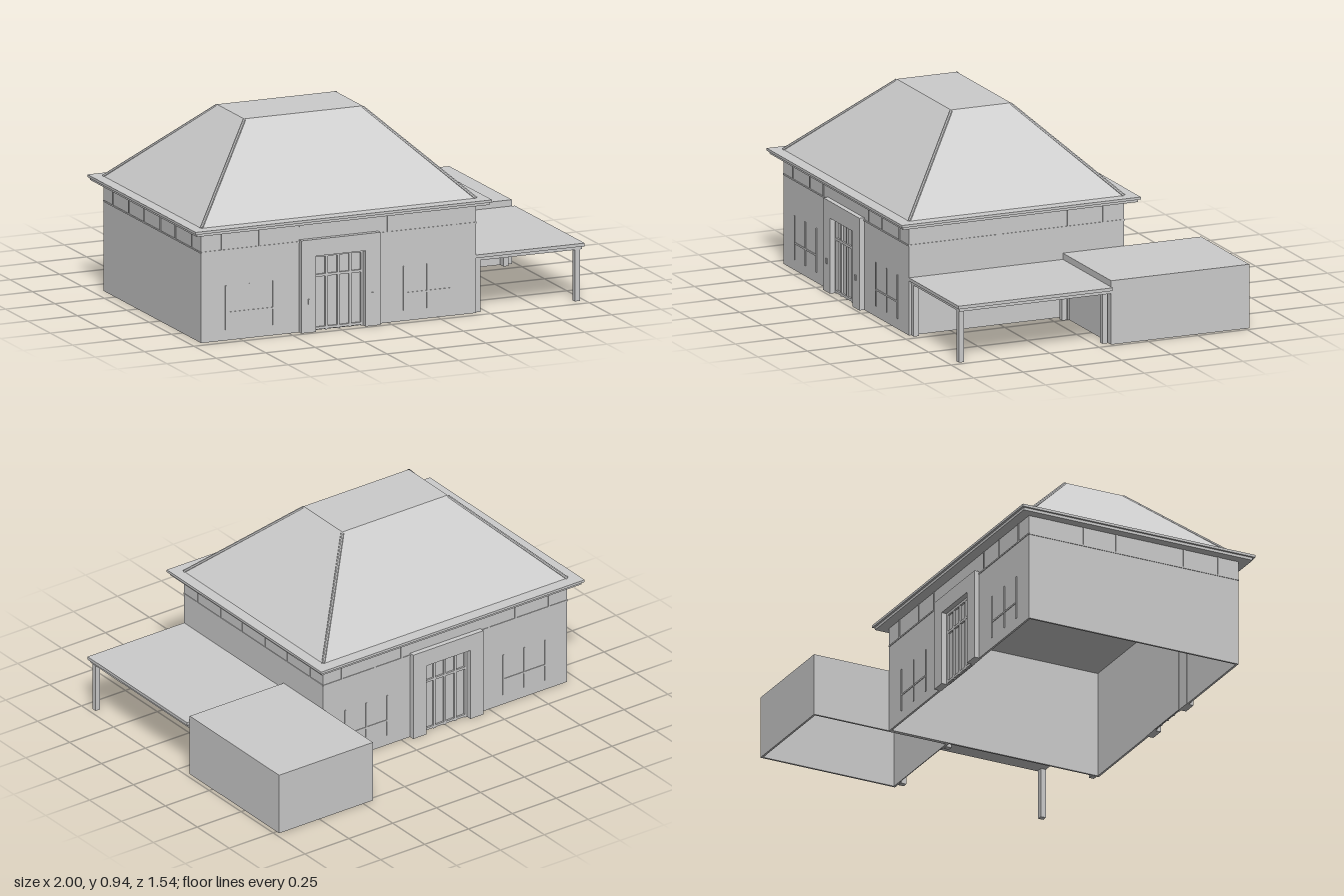
import * as THREE from 'three';

const mat = new THREE.MeshStandardMaterial({ color: 0xcccccc, flatShading: true, side: THREE.DoubleSide });

export function createModel() {
  const root = new THREE.Group();
  root.name = 'house';

  const group = (name, parent = root) => {
    const g = new THREE.Group();
    g.name = name;
    parent.add(g);
    return g;
  };
  const add = (name, geo, parent) => {
    const m = new THREE.Mesh(geo, mat);
    m.name = name;
    parent.add(m);
    return m;
  };
  // Box given by its two extreme corners
  const box = (name, x0, x1, y0, y1, z0, z1, parent = root) =>
    add(name, new THREE.BoxGeometry(x1 - x0, y1 - y0, z1 - z0)
      .translate((x0 + x1) / 2, (y0 + y1) / 2, (z0 + z1) / 2), parent);
  // Thin wall facing z with one doorway reaching the ground
  const doorWall = (name, x0, x1, h, d0, d1, dh, z, t, parent) => {
    const s = new THREE.Shape();
    [[x0, 0], [d0, 0], [d0, dh], [d1, dh], [d1, 0], [x1, 0], [x1, h], [x0, h]]
      .forEach(([x, y], i) => (i ? s.lineTo(x, y) : s.moveTo(x, y)));
    const m = add(name, new THREE.ExtrudeGeometry(s, { depth: t, bevelEnabled: false }), parent);
    m.position.z = z;
  };

  // Main block, measured about its own centre
  const CX = -0.25, CZ = 0.165, W = 0.695, D = 0.545, H = 0.52, T = 0.01;
  const main = group('mainBlock');
  main.position.set(CX, 0, CZ);

  // Side walls with the band of upper windows
  for (const s of [-1, 1]) {
    const side = group(s > 0 ? 'leftSide' : 'rightSide', main);
    side.scale.x = s;
    box('sideWall', W - T, W, 0, H, -D, D, side);
    box('windowBand', W, W + 0.003, 0.425, 0.432, -D, D, side);
    for (const z of [-0.44, -0.26, -0.09, 0.09, 0.26, 0.44])
      box('upperMullion', W, W + 0.003, 0.43, H, z - 0.004, z + 0.004, side);
  }

  // Front and back facades share one layout, turned half round
  for (const r of [0, 1]) {
    const f = group(r ? 'backFacade' : 'frontFacade', main);
    f.rotation.y = r * Math.PI;
    doorWall('facadeWall', -W, W, H, -0.125, 0.125, 0.36, D - T, T, f);

    // Portal surround
    doorWall('portal', -0.2, 0.2, 0.44, -0.125, 0.125, 0.36, D - 0.012, 0.037, f);

    // Glazed double door set back in the opening
    box('doorGlass', -0.125, 0.125, 0, 0.36, D - 0.014, D - 0.01, f);
    for (const x of [-0.119, -0.06, 0, 0.06, 0.119])
      box('doorStile', x - 0.006, x + 0.006, 0, 0.36, D - 0.012, D - 0.001, f);
    for (const y of [0.01, 0.26, 0.354])
      box('doorRail', -0.125, 0.125, y - 0.006, y + 0.006, D - 0.012, D - 0.001, f);

    // Window bars and upper band on both halves
    for (const s of [-1, 1]) {
      const half = group('windows', f);
      half.scale.x = s;
      box('windowBand', 0.2, W, 0.425, 0.432, D, D + 0.003, half);
      for (const x of [0.25, 0.4, 0.59])
        box('upperMullion', x - 0.004, x + 0.004, 0.43, H, D, D + 0.003, half);
      for (const x of [0.33, 0.45, 0.57])
        box('windowPost', x - 0.004, x + 0.004, 0.05, 0.26, D, D + 0.003, half);
      box('windowBar', 0.33, 0.57, 0.126, 0.134, D, D + 0.003, half);
      // Small lamp on the portal, front only
      if (!r) box('portalLamp', 0.154, 0.166, 0.135, 0.16, D + 0.025, D + 0.03, half);
    }
  }
  box('upperWindowHead', -0.2, 0.2, 0.5, H, D, D + 0.003, main);

  // Eaves: slab with a projecting lip
  box('eaveSlab', -W - 0.045, W + 0.045, H, 0.537, -D - 0.05, D + 0.05, main);
  box('eaveLip', -W - 0.055, W + 0.055, 0.533, 0.545, -D - 0.06, D + 0.06, main);

  // Flat-topped hip roof: a box narrowed at the top
  const RY0 = 0.545, RY1 = 0.935, TX = 0.3, TZ = 0.152;
  const roof = new THREE.BoxGeometry(2 * W, RY1 - RY0, 2 * D).translate(0, (RY0 + RY1) / 2, 0);
  const p = roof.attributes.position;
  for (let i = 0; i < p.count; i++)
    if (p.getY(i) > 0.7) {
      p.setX(i, Math.sign(p.getX(i)) * TX);
      p.setZ(i, Math.sign(p.getZ(i)) * TZ);
    }
  roof.computeVertexNormals();
  add('roof', roof, main);

  // Rounded caps along the four hips
  for (const sx of [-1, 1])
    for (const sz of [-1, 1]) {
      const path = new THREE.LineCurve3(
        new THREE.Vector3(sx * W, RY0, sz * D), new THREE.Vector3(sx * TX, RY1 - 0.006, sz * TZ));
      add('hipCap', new THREE.TubeGeometry(path, 1, 0.008, 8), main);
    }

  // Rear annex: open-bottomed shell with a garage door
  const annex = group('annex');
  const AX0 = 0.445, AX1 = 0.98, AZ0 = -0.77, AZ1 = -0.07, AH = 0.305;
  box('annexRoof', AX0, AX1, AH - T, AH, AZ0, AZ1, annex);
  box('annexBackWall', AX0, AX1, 0, AH - T, AZ0, AZ0 + T, annex);
  box('annexInnerWall', AX0, AX0 + T, 0, AH - T, AZ0, AZ1, annex);
  box('annexOuterWall', AX1 - T, AX1, 0, AH - T, AZ0, AZ1, annex);
  doorWall('annexFrontWall', AX0, AX1, AH - T, 0.503, 0.924, 0.245, AZ1 - T, T, annex);
  box('garageDoor', 0.503, 0.924, 0, 0.245, AZ1 - T, AZ1 - 0.006, annex);

  // Carport: stepped flat roof on four posts
  const port = group('carport');
  box('carportBeam', 0.445, 0.985, 0.245, 0.262, -0.07, 0.7, port);
  box('carportRoof', 0.445, 0.995, 0.26, 0.275, -0.07, 0.71, port);
  for (const [x, z] of [[0.447, 0.673], [0.95, 0.673], [0.475, -0.066], [0.924, -0.066]])
    box('carportPost', x, x + 0.026, 0, 0.247, z, z + 0.026, port);

  return root;
}
